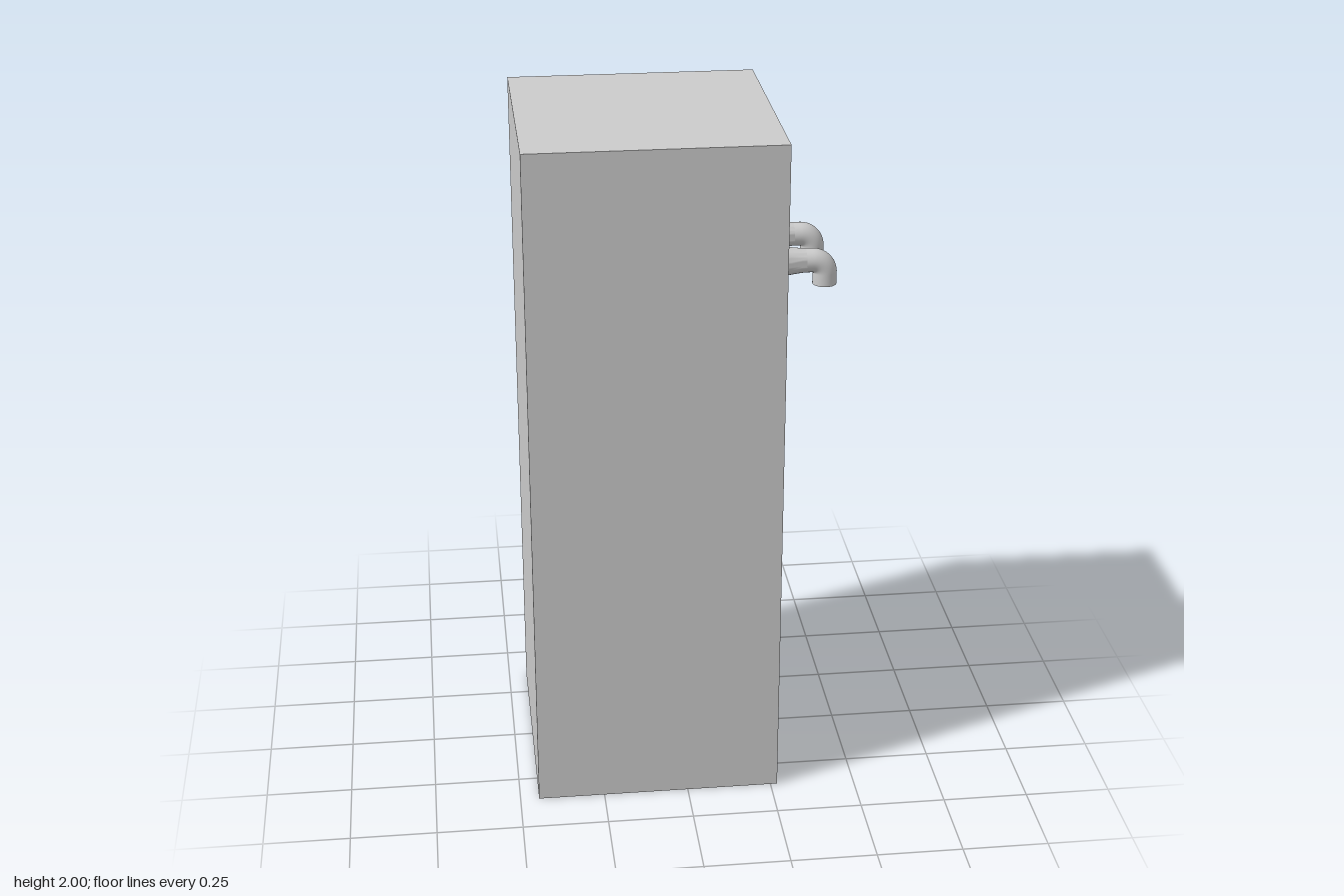
import * as THREE from 'three';
import { toCreasedNormals } from 'three/addons/utils/BufferGeometryUtils.js';

const material = new THREE.MeshStandardMaterial({ color: 0xcccccc });

function part(name, geometry, x = 0, y = 0, z = 0) {
  const mesh = new THREE.Mesh(geometry, material);
  mesh.name = name;
  mesh.position.set(x, y, z);
  return mesh;
}

// Turned shape from [radius, height] pairs, with sharp edges kept
function turned(points, segments = 48) {
  const profile = points.map(([r, h]) => new THREE.Vector2(r, h));
  return toCreasedNormals(new THREE.LatheGeometry(profile, segments), 0.6);
}

// Box without its +x side; optionally turned inside out
function openBox(w, h, d, inward = false) {
  const geometry = new THREE.BoxGeometry(w, h, d);
  const index = Array.from(geometry.index.array).slice(6);
  geometry.setIndex(inward ? index.reverse() : index);
  geometry.clearGroups();
  if (inward) geometry.computeVertexNormals();
  return geometry;
}

function rectangle(Type, halfWidth, bottom, top) {
  const path = new Type();
  path.moveTo(-halfWidth, bottom);
  path.lineTo(halfWidth, bottom);
  path.lineTo(halfWidth, top);
  path.lineTo(-halfWidth, top);
  path.closePath();
  return path;
}

// Column with a recessed niche on its +x side
function createCabinet() {
  const cabinet = new THREE.Group();
  cabinet.name = 'cabinet';
  const back = -0.445, face = 0.27, half = 0.359;
  const niche = { back: 0.03, half: 0.25, bottom: 1.03, top: 1.895 };

  const panel = rectangle(THREE.Shape, half, 0, 2);
  panel.holes.push(rectangle(THREE.Path, niche.half, niche.bottom, niche.top));
  const panelGeometry = new THREE.ShapeGeometry(panel).rotateY(Math.PI / 2);

  cabinet.add(
    part('cabinetShell', openBox(face - back, 2, half * 2), (face + back) / 2, 1, 0),
    part('facePanel', panelGeometry, face, 0, 0),
    part('niche', openBox(face - niche.back, niche.top - niche.bottom, niche.half * 2, true),
      (face + niche.back) / 2, (niche.top + niche.bottom) / 2, 0)
  );
  return cabinet;
}

// Tap pointing along +x, origin at the back of its flange
function createTap() {
  const tap = new THREE.Group();
  tap.name = 'tap';
  const r = 0.034;

  const flange = turned([[0, 0], [0.079, 0], [0.079, 0.012], [0.074, 0.02], [0, 0.02]]);
  const neck = turned([[0.066, 0.018], [0.061, 0.045], [0.053, 0.085], [0.045, 0.12],
    [0.039, 0.16], [0.035, 0.19], [r, 0.205]]);

  // Elbow: short run, quarter bend, drop
  const v = (x, y) => new THREE.Vector3(x, y, 0);
  const path = new THREE.CurvePath();
  path.add(new THREE.LineCurve3(v(0.2, 0), v(0.224, 0)));
  path.add(new THREE.CubicBezierCurve3(v(0.224, 0), v(0.244, 0), v(0.26, -0.016), v(0.26, -0.036)));
  path.add(new THREE.LineCurve3(v(0.26, -0.036), v(0.26, -0.07)));

  tap.add(
    part('flange', flange.rotateZ(-Math.PI / 2)),
    part('neck', neck.rotateZ(-Math.PI / 2)),
    part('spout', new THREE.TubeGeometry(path, 32, r, 32)),
    part('spoutEnd', new THREE.CircleGeometry(r, 32).rotateX(Math.PI / 2), 0.26, -0.07, 0)
  );
  return tap;
}

export function createModel() {
  const model = new THREE.Group();
  model.name = 'waterDispenser';
  model.add(createCabinet());

  for (const [name, z] of [['leftTap', 0.133], ['rightTap', -0.084]]) {
    const tap = createTap();
    tap.name = name;
    tap.position.set(0.15, 1.588, z);
    model.add(tap);
  }

  // Hollow tapered cup standing on the niche floor
  const cup = turned([[0, 0], [0.083, 0], [0.1, 0.168], [0.088, 0.168], [0.073, 0.015], [0, 0.015]]);
  model.add(part('cup', cup, 0.209, 1.031, -0.133));
  return model;
}
